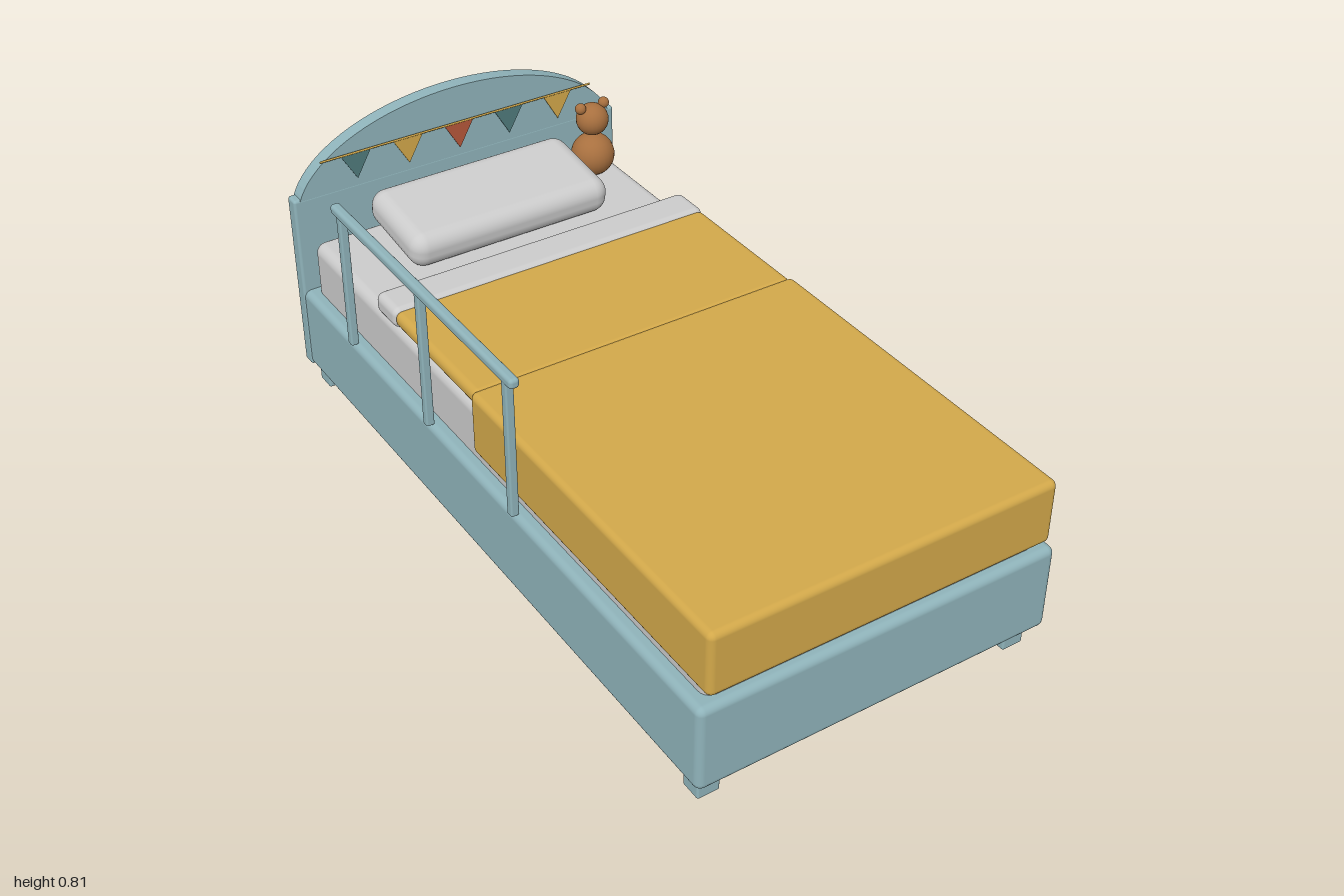
import * as THREE from 'three';
import { RoundedBoxGeometry } from 'three/addons/geometries/RoundedBoxGeometry.js';

const mat = (color) => new THREE.MeshStandardMaterial({ color });
const blue = mat(0x8fb3ba), gold = mat(0xd2a84a), grey = mat(0xcccccc), brown = mat(0xa8703f);
const teal = mat(0x4f7a7c), red = mat(0xb5573a);
const CX = 0.005; // bed centre line, the rail sits outside it on the right

export function createModel() {
  const model = new THREE.Group();
  model.name = 'childBed';

  const add = (name, geometry, material, x, y, z, parent = model) => {
    const mesh = new THREE.Mesh(geometry, material);
    mesh.name = name;
    mesh.position.set(x, y, z);
    parent.add(mesh);
    return mesh;
  };
  // rounded box given by its lower and upper limits in y and z
  const slab = (name, material, x, w, [y0, y1], [z0, z1], r, parent = model) =>
    add(name, new RoundedBoxGeometry(w, y1 - y0, z1 - z0, 3, r), material,
      x, (y0 + y1) / 2, (z0 + z1) / 2, parent);

  // frame and feet
  slab('frame', blue, CX, 1.012, [0.07, 0.317], [-0.98, 1], 0.02);
  for (const side of [-1, 1])
    for (const z of [-0.948, 0.93])
      slab('foot', blue, CX + side * 0.447, 0.062, [0, 0.09], [z - 0.03, z + 0.03], 0.006);

  // headboard: straight panel topped by an elliptical arch
  slab('headboardPanel', blue, CX, 1.018, [0.07, 0.605], [-1, -0.957], 0.008);
  const arch = new THREE.Shape();
  const a0 = Math.asin(0.1);
  arch.absellipse(0, 0.55, 0.5, 0.262, a0, Math.PI - a0, false, 0);
  arch.closePath();
  add('headboardArch', new THREE.ExtrudeGeometry(arch,
    { depth: 0.042, bevelEnabled: false, curveSegments: 20 }), blue, CX, 0, -0.9995);

  // bedding
  slab('mattress', grey, CX, 0.94, [0.29, 0.472], [-0.95, 0.97], 0.03);
  slab('blanket', gold, CX, 0.966, [0.343, 0.525], [-0.035, 1], 0.018);
  slab('blanketTop', gold, CX, 0.95, [0.48, 0.524], [-0.45, -0.02], 0.02);
  slab('foldedSheet', grey, CX, 0.955, [0.469, 0.53], [-0.552, -0.435], 0.022);
  const pillow = add('pillow', new RoundedBoxGeometry(0.615, 0.105, 0.29, 4, 0.045), grey,
    CX, 0.533, -0.79);
  pillow.rotation.x = 0.12;

  // safety rail
  const rail = new THREE.Group();
  rail.name = 'safetyRail';
  model.add(rail);
  slab('railBar', blue, -0.501, 0.028, [0.709, 0.737], [-0.69, 0.245], 0.01, rail);
  for (const z of [0.207, -0.222, -0.65])
    slab('railPost', blue, -0.501, 0.023, [0.32, 0.72], [z - 0.0115, z + 0.0115], 0.005, rail);

  // bunting: string with five hanging pennants
  const bunting = new THREE.Group();
  bunting.name = 'bunting';
  model.add(bunting);
  const string = add('string', new THREE.CylinderGeometry(0.003, 0.003, 0.85, 8), gold,
    CX, 0.705, -0.95, bunting);
  string.rotation.z = Math.PI / 2;
  const pennant = new THREE.Shape([[-0.046, 0], [0, -0.08], [0.046, 0]]
    .map(([x, y]) => new THREE.Vector2(x, y)));
  const flag = new THREE.ExtrudeGeometry(pennant, { depth: 0.004, bevelEnabled: false });
  [teal, gold, red, teal, gold].forEach((m, i) =>
    add('pennant', flag, m, CX + (i - 2) * 0.159, 0.705, -0.954, bunting));

  // teddy bear
  const teddy = new THREE.Group();
  teddy.name = 'teddy';
  teddy.position.set(0.387, 0, -0.866);
  model.add(teddy);
  const ball = (name, r, x, y) =>
    add(name, new THREE.SphereGeometry(r, 24, 16), brown, x, y, 0, teddy);
  ball('teddyBody', 0.063, 0, 0.53);
  ball('teddyHead', 0.047, 0, 0.642);
  for (const side of [-1, 1]) ball('teddyEar', 0.016, side * 0.038, 0.684);

  return model;
}
